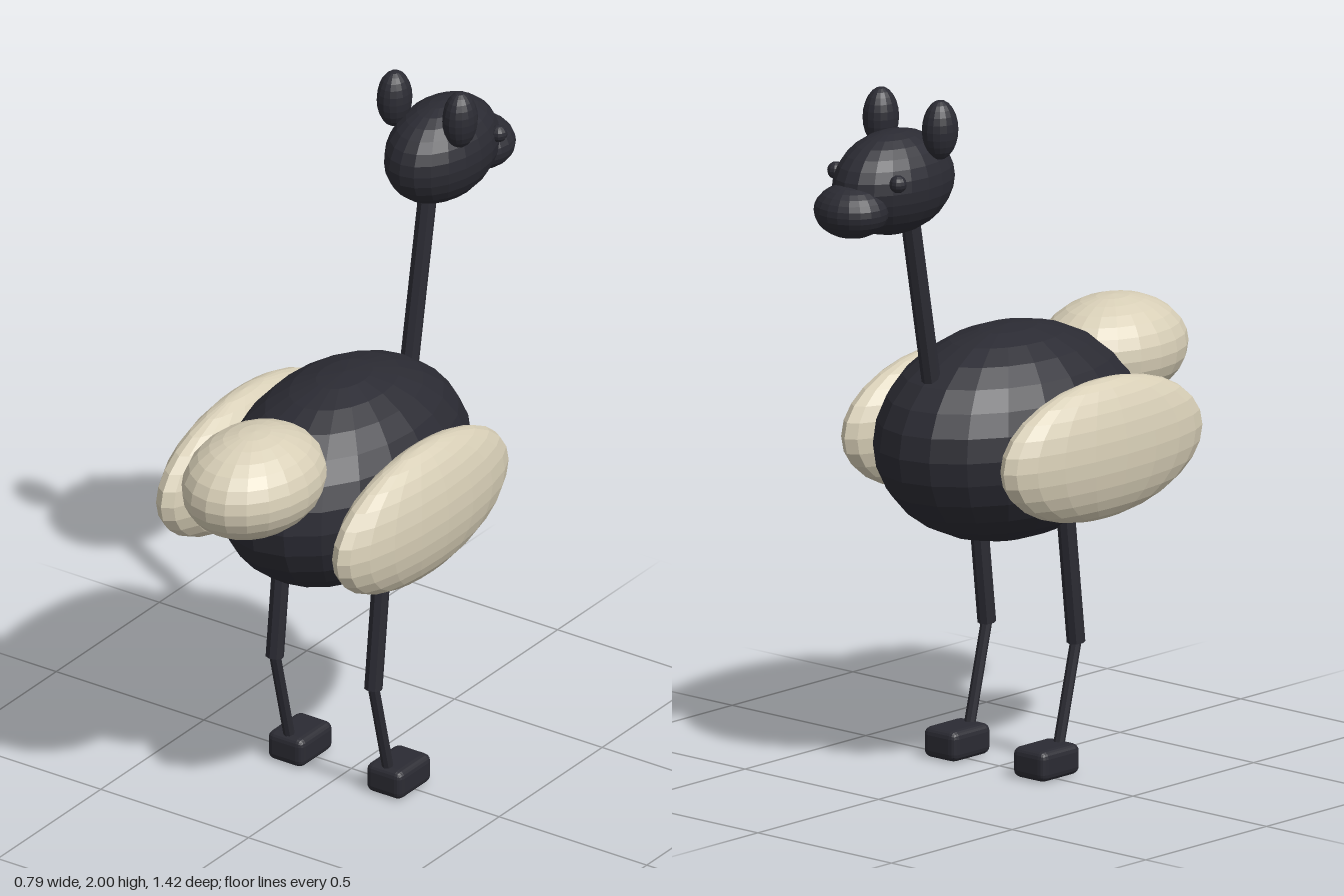
import * as THREE from 'three';
import { RoundedBoxGeometry } from 'three/addons/geometries/RoundedBoxGeometry.js';

function material(name, color) {
  const m = new THREE.MeshStandardMaterial({ color, flatShading: true });
  m.name = name;
  return m;
}

export function createModel() {
  const group = new THREE.Group();
  const dark = material('charcoal', 0x2b2b33);
  const cream = material('cream', 0xd8cfb7);

  function add(name, geometry, mat, position) {
    const mesh = new THREE.Mesh(geometry, mat);
    mesh.name = name;
    mesh.position.set(...position);
    group.add(mesh);
    return mesh;
  }

  // Faceted ellipsoid with its poles up and down
  function ellipsoid(name, mat, position, radii, segments = 20, rings = 14) {
    const geometry = new THREE.SphereGeometry(1, segments, rings).scale(...radii);
    return add(name, geometry, mat, position);
  }

  // Straight rod between two points
  function rod(name, from, to, radius) {
    const a = new THREE.Vector3(...from);
    const b = new THREE.Vector3(...to);
    const geometry = new THREE.CylinderGeometry(radius, radius, a.distanceTo(b), 8);
    const mesh = add(name, geometry, dark, a.clone().add(b).multiplyScalar(0.5).toArray());
    mesh.quaternion.setFromUnitVectors(new THREE.Vector3(0, 1, 0), b.sub(a).normalize());
    return mesh;
  }

  // Body, tail and neck
  ellipsoid('body', dark, [0, 0.958, 0.035], [0.3, 0.306, 0.45]);
  ellipsoid('tail', cream, [0, 1.114, 0.47], [0.184, 0.151, 0.24]);
  rod('neck', [0, 1.05, -0.262], [0, 1.7, -0.38], 0.027);

  // Head and beak, pointing to the back of the frame
  ellipsoid('head', dark, [0, 1.762, -0.439], [0.135, 0.148, 0.207]);
  ellipsoid('beak', dark, [0, 1.711, -0.612], [0.109, 0.077, 0.102]);

  // Paired parts
  for (const [side, s] of [['left', 1], ['right', -1]]) {
    ellipsoid(side + 'Wing', cream, [s * 0.298, 0.945, 0.093], [0.098, 0.2, 0.405]);
    ellipsoid(side + 'Eye', dark, [s * 0.116, 1.794, -0.548], [0.025, 0.025, 0.025], 12, 8);
    ellipsoid(side + 'Ear', dark, [s * 0.111, 1.915, -0.368], [0.048, 0.085, 0.054], 16, 12);

    const x = s * 0.167;
    rod(side + 'Thigh', [x, 0.8, 0.083], [x, 0.36, 0.133], 0.026);
    rod(side + 'Shin', [x, 0.37, 0.134], [x, 0.06, 0.057], 0.016);
    add(side + 'Foot', new RoundedBoxGeometry(0.122, 0.088, 0.16, 2, 0.022), dark, [x, 0.044, 0.01]);
  }
  return group;
}
